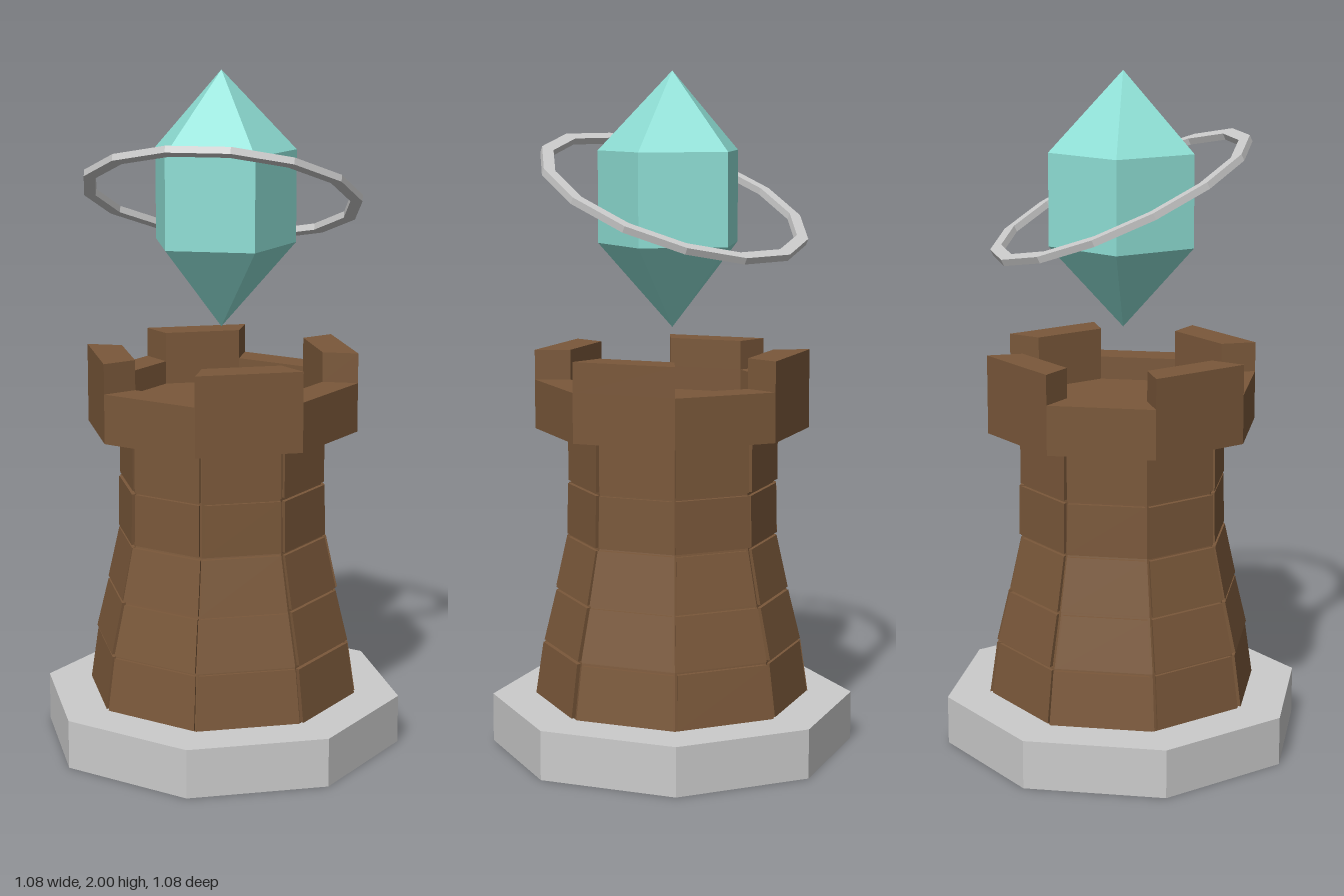
import * as THREE from 'three';

const SIDES = 8;
const STEP = (Math.PI * 2) / SIDES;

const material = (color) => new THREE.MeshStandardMaterial({ color, flatShading: true });

// Faceted solid of revolution; the profile climbs on the outside
function turned(name, profile, sides, mat, start = 0) {
  const points = profile.map(([r, y]) => new THREE.Vector2(r, y));
  const mesh = new THREE.Mesh(new THREE.LatheGeometry(points, sides, start), mat);
  mesh.name = name;
  return mesh;
}

// Block filling one side of the octagon: a box reshaped to the two radial corners
function sideBlock(name, side, { y0, y1, out0, out1, in0, in1, gapL = 0, gapR = 0 }, mat) {
  const geo = new THREE.BoxGeometry(1, 1, 1);
  const pos = geo.attributes.position;
  const a = side * STEP, b = a + STEP;
  for (let i = 0; i < pos.count; i++) {
    const top = pos.getY(i) > 0;
    const outer = pos.getZ(i) > 0;
    const r = outer ? (top ? out1 : out0) : (top ? in1 : in0);
    const t = pos.getX(i) < 0 ? gapL : 1 - gapR;
    pos.setXYZ(i,
      r * THREE.MathUtils.lerp(Math.sin(a), Math.sin(b), t),
      top ? y1 : y0,
      r * THREE.MathUtils.lerp(Math.cos(a), Math.cos(b), t));
  }
  geo.computeVertexNormals();
  const mesh = new THREE.Mesh(geo, mat);
  mesh.name = name;
  return mesh;
}

// Small repeatable variation for the masonry
function seeded(seed) {
  return () => (seed = (seed * 16807) % 2147483647) / 2147483647;
}

export function createModel() {
  const model = new THREE.Group();
  model.name = 'crystalTower';
  const stone = material(0xcccccc);
  const brown = material(0x7a583a);
  const teal = material(0x8fe0d6);

  // Plinth
  model.add(turned('base', [[0, 0], [0.54, 0], [0.54, 0.145], [0, 0.145]], SIDES, stone));

  // Tower core, set back behind the bricks so the joints show
  const levels = [[0.41, 0.145], [0.387, 0.31], [0.35, 0.47], [0.315, 0.635], [0.312, 0.795], [0.312, 0.96]];
  const inset = 0.012;
  model.add(turned('towerCore', levels.map(([r, y]) => [r - inset, y]), SIDES, brown));

  // Five courses of slightly uneven bricks
  const rand = seeded(77);
  const bricks = new THREE.Group();
  bricks.name = 'bricks';
  for (let row = 0; row < levels.length - 1; row++) {
    const [r0, y0] = levels[row];
    const [r1, y1] = levels[row + 1];
    for (let side = 0; side < SIDES; side++) {
      const bump = (rand() - 0.5) * 0.006;
      bricks.add(sideBlock('brick', side, {
        y0: y0 + 0.003 + rand() * 0.003,
        y1: y1 - 0.003 - rand() * 0.003,
        out0: r0 + bump, out1: r1 + bump,
        in0: r0 - 0.03, in1: r1 - 0.03,
        gapL: 0.012 + rand() * 0.025,
        gapR: 0.012 + rand() * 0.025,
      }, brown));
    }
  }
  model.add(bricks);

  // Crown with sunken floor
  const crownR = 0.405, wallR = 0.3, wallTop = 1.1;
  model.add(turned('crown', [
    [0, 0.955], [crownR, 0.955], [crownR, wallTop], [wallR, wallTop], [wallR, 1.03], [0, 1.03],
  ], SIDES, brown));

  // Battlements on every other side
  for (let side = 0; side < SIDES; side += 2) {
    model.add(sideBlock('battlement', side, {
      y0: wallTop, y1: 1.188, out0: crownR, out1: crownR, in0: wallR, in1: wallR,
    }, brown));
  }

  // Floating five-sided crystal, one edge to the back
  model.add(turned('crystal', [[0, 1.255], [0.22, 1.5], [0.22, 1.77], [0, 2]], 5, teal, Math.PI));

  // Flat ring tilted around the crystal, raised at the front
  const h = 0.01;
  const ring = turned('ring', [[0.375, -h], [0.41, -h], [0.41, h], [0.375, h], [0.375, -h]],
    14, stone, Math.PI / 14);
  ring.position.set(0, 1.64, -0.008);
  ring.rotation.x = -0.43;
  model.add(ring);

  return model;
}
